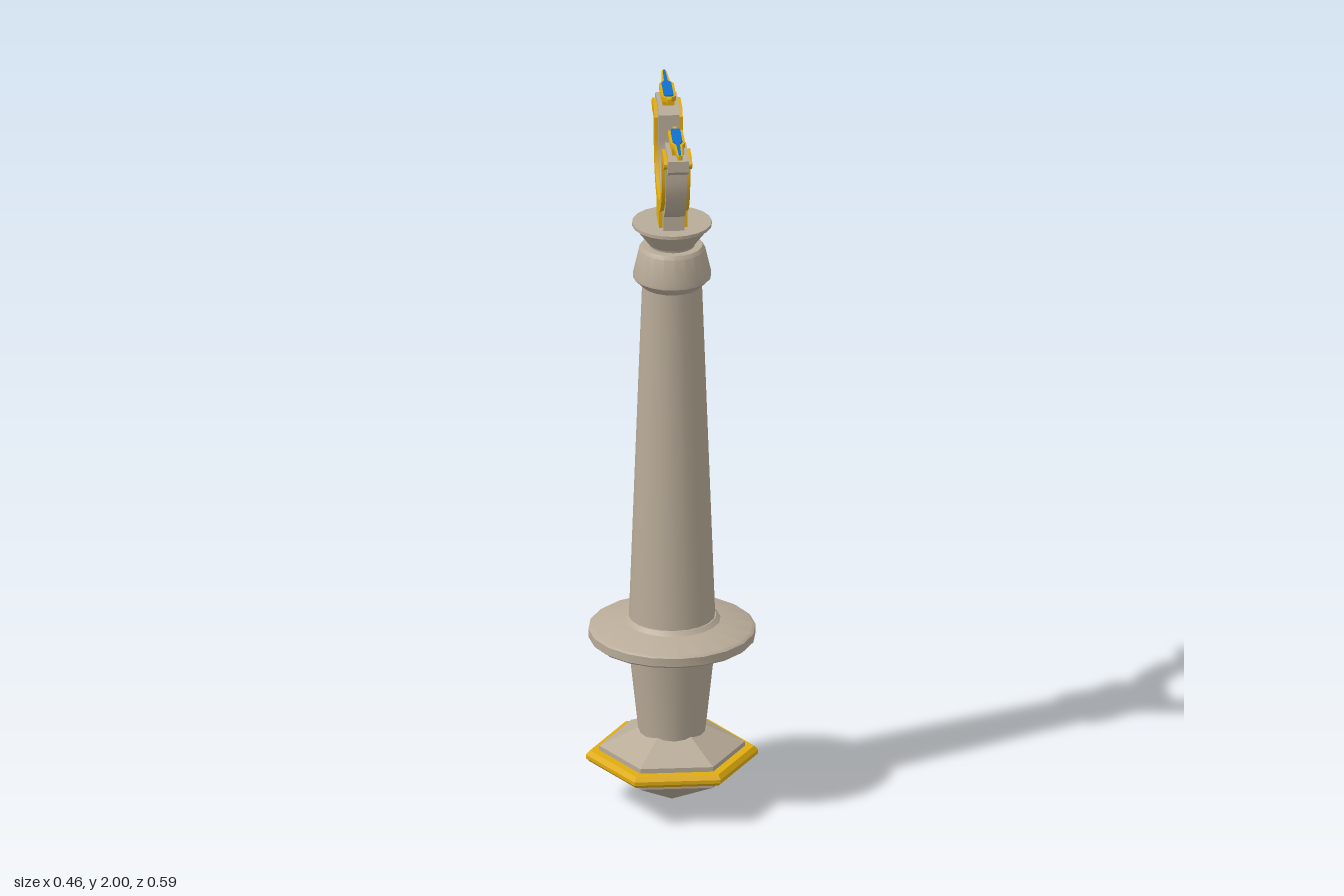
import * as THREE from 'three';
import { toCreasedNormals } from 'three/addons/utils/BufferGeometryUtils.js';

const stone = new THREE.MeshStandardMaterial({ color: 0xb8ab98 });
const gold = new THREE.MeshStandardMaterial({ color: 0xe0ac10 });
const blue = new THREE.MeshStandardMaterial({ color: 0x1070d0 });

const vec = (list) => list.map(([x, y]) => new THREE.Vector2(x, y));

function part(parent, name, geometry, material) {
  const mesh = new THREE.Mesh(geometry, material);
  mesh.name = name;
  parent.add(mesh);
  return mesh;
}

// Profile of [radius, y] points from bottom to top
function turned(points, sides, crease) {
  return toCreasedNormals(new THREE.LatheGeometry(vec(points), sides), crease);
}

// U-shaped fork in the z-y plane with a foot below and a hook on each arm
function forkGeometry({ inner, outer, top, hook, end, foot, width }) {
  const cy = 1.875, steps = 8, c = 0.012;
  const half = [[foot, 1.68]];
  const start = Math.asin(foot / outer);
  for (let i = 0; i <= steps; i++) {
    const a = start + (Math.PI / 2 - start) * i / steps;
    half.push([outer * Math.sin(a), cy - outer * Math.cos(a)]);
  }
  half.push(
    [outer, hook - c], [outer + 0.012, hook], [end - c, hook], [end, hook + c],
    [end, top - c], [end - c, top], [inner + 0.02, top], [inner, top - 0.02]
  );
  for (let i = steps; i > 0; i--) {
    const a = Math.PI / 2 * i / steps;
    half.push([inner * Math.sin(a), cy - inner * Math.cos(a)]);
  }
  const mirrored = half.map(([x, y]) => [-x, y]).reverse();
  const shape = new THREE.Shape(vec([...half, [0, cy - inner], ...mirrored]));
  const geo = new THREE.ExtrudeGeometry(shape, { depth: width, bevelEnabled: false });
  geo.translate(0, 0, -width / 2).rotateY(Math.PI / 2);
  return toCreasedNormals(geo, 0.5);
}

// Flat plate symmetric about x = 0 from [half width, z] points, hanging below the given top
function plateGeometry(points, top, thickness) {
  const mirrored = points.map(([x, z]) => [-x, z]).reverse();
  const shape = new THREE.Shape(vec([...points, ...mirrored]));
  const geo = new THREE.ExtrudeGeometry(shape, { depth: thickness, bevelEnabled: false });
  return geo.rotateX(Math.PI / 2).translate(0, top, 0);
}

export function createModel() {
  const model = new THREE.Group();
  model.name = 'column';

  // Six-sided pointed base with a gold band
  const base = new THREE.Group();
  base.name = 'base';
  base.rotation.y = Math.PI / 6;
  model.add(base);
  part(base, 'basePoint', turned(
    [[0, 0.005], [0.195, 0.105], [0.195, 0.165], [0.085, 0.218], [0, 0.218]], 6, 0.2), stone);
  part(base, 'baseBand', turned(
    [[0.19, 0.12], [0.22, 0.12], [0.231, 0.13], [0.231, 0.14], [0.22, 0.152], [0.19, 0.152]], 6, 0.2), gold);

  // Round shaft in stacked turned sections
  part(model, 'lowerShaft', turned([[0.089, 0.2], [0.116, 0.45]], 20, 0.5), stone);
  part(model, 'flange', turned(
    [[0, 0.44], [0.117, 0.44], [0.13, 0.455], [0.217, 0.476], [0.224, 0.482], [0.224, 0.505],
      [0.217, 0.51], [0.13, 0.53], [0.119, 0.541], [0, 0.541]], 20, 0.4), stone);
  part(model, 'shaft', turned([[0.116, 0.53], [0.08, 1.51]], 20, 0.5), stone);
  part(model, 'head', turned(
    [[0, 1.5], [0.08, 1.5], [0.105, 1.525], [0.105, 1.535], [0.089, 1.605], [0.082, 1.615], [0, 1.615]],
    20, 0.4), stone);
  part(model, 'collar', turned(
    [[0.06, 1.605], [0.062, 1.62], [0.1, 1.67], [0.107, 1.673], [0.107, 1.682], [0, 1.682]], 20, 0.4), stone);

  // Fork with a slightly wider gold inlay showing on both faces
  part(model, 'fork', forkGeometry(
    { inner: 0.105, outer: 0.166, top: 1.965, hook: 1.91, end: 0.232, foot: 0.066, width: 0.056 }), stone);
  part(model, 'forkInlay', forkGeometry(
    { inner: 0.121, outer: 0.15, top: 1.953, hook: 1.922, end: 0.222, foot: 0.042, width: 0.076 }), gold);

  // Blade-shaped finials on the two arm tips
  for (const [side, turn] of [['front', 0], ['back', Math.PI]]) {
    const finial = new THREE.Group();
    finial.name = side + 'Finial';
    finial.rotation.y = turn;
    model.add(finial);
    const pedestal = new THREE.BoxGeometry(0.032, 0.026, 0.088).translate(0, 1.974, 0.17);
    part(finial, 'pedestal', pedestal, gold);
    part(finial, 'blade', plateGeometry(
      [[0.005, 0.092], [0.006, 0.104], [0.02, 0.118], [0.02, 0.203], [0.011, 0.222],
        [0.007, 0.286], [0.004, 0.294]], 1.996, 0.013), gold);
    part(finial, 'bladeInlay', plateGeometry(
      [[0.009, 0.113], [0.013, 0.121], [0.013, 0.2], [0.005, 0.215], [0.003, 0.289]], 2.0, 0.006), blue);
  }
  return model;
}
